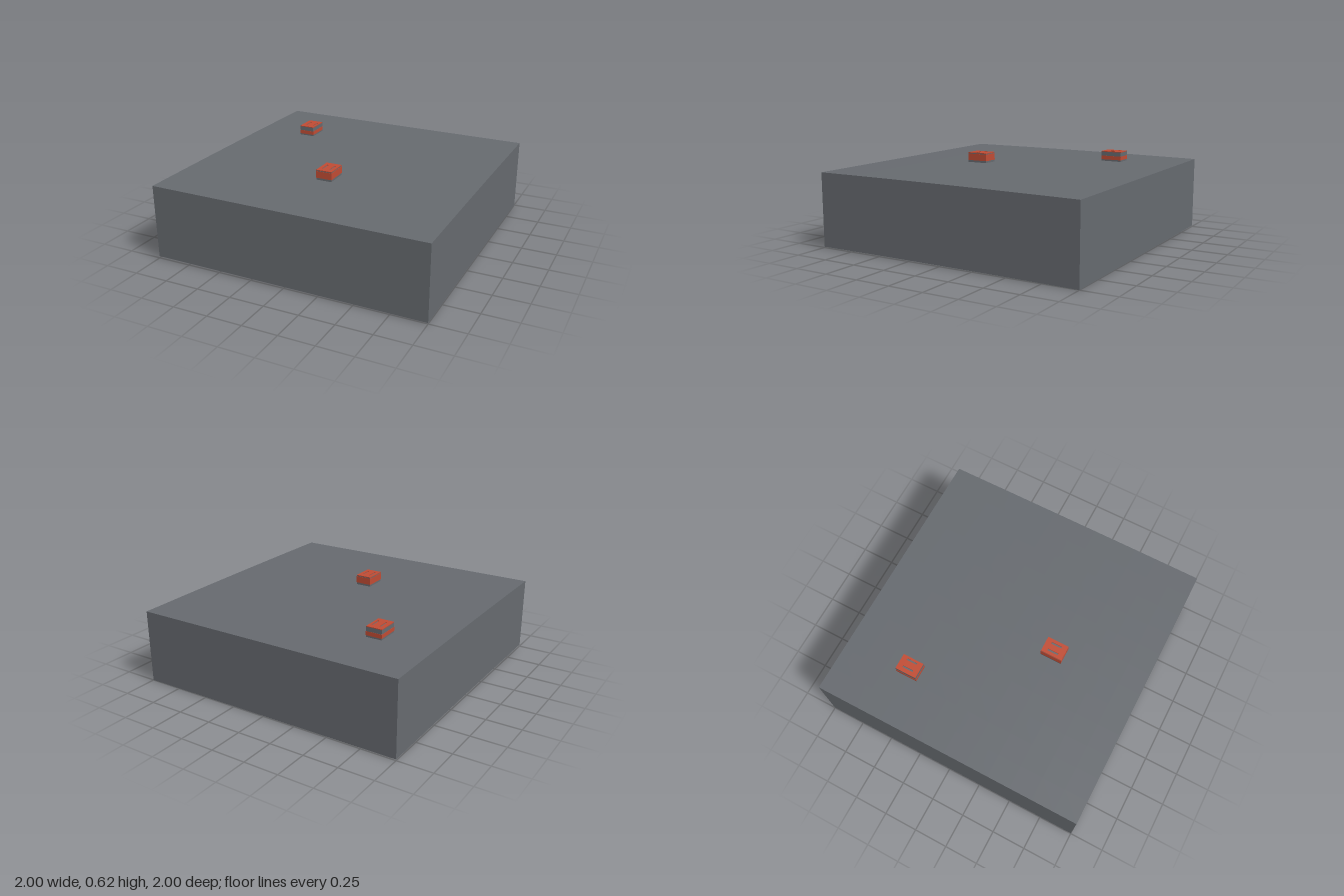
import * as THREE from 'three';

const slate = new THREE.MeshStandardMaterial({ color: 0x666a6f, side: THREE.DoubleSide });
slate.name = 'slate grey';
const brick = new THREE.MeshStandardMaterial({ color: 0xc04c34 });
brick.name = 'brick red';

// Gentle unevenness of the ground
const groundHeight = (x, z) => 0.541 - 0.004 * x + 0.003 * z - 0.004 * z * z;

function addMesh(parent, name, geometry, material, y = 0) {
  const mesh = new THREE.Mesh(geometry, material);
  mesh.name = name;
  mesh.position.y = y;
  parent.add(mesh);
  return mesh;
}

// Hollow slab of ground: top and four walls, open underneath
function groundGeometry() {
  const geo = new THREE.BoxGeometry(2, 1, 2, 12, 1, 12);
  const floor = geo.groups[3];
  const index = Array.from(geo.index.array);
  index.splice(floor.start, floor.count);
  geo.setIndex(index);
  geo.clearGroups();
  const pos = geo.attributes.position;
  for (let i = 0; i < pos.count; i++) {
    const h = groundHeight(pos.getX(i), pos.getZ(i));
    pos.setY(i, pos.getY(i) > 0 ? h : h - 0.53);
  }
  geo.computeVertexNormals();
  return geo;
}

// Flat roof plate with two narrow slots
function roofGeometry(w, d, slots) {
  const rect = (target, x, y, rw, rh) => {
    target.moveTo(x - rw / 2, y - rh / 2);
    target.lineTo(x + rw / 2, y - rh / 2);
    target.lineTo(x + rw / 2, y + rh / 2);
    target.lineTo(x - rw / 2, y + rh / 2);
    target.closePath();
    return target;
  };
  const shape = rect(new THREE.Shape(), 0, 0, w, d);
  for (const x of slots) shape.holes.push(rect(new THREE.Path(), x, 0, 0.012, 0.08));
  const geo = new THREE.ExtrudeGeometry(shape, { depth: 0.005, bevelEnabled: false });
  return geo.rotateX(-Math.PI / 2);
}

// Small building: grey body, red band round the walls, slotted red roof
function building(name, x, z, bandLow, bandHigh, slots) {
  const group = new THREE.Group();
  group.name = name;
  group.position.set(x, 0, z);
  const w = 0.116, d = 0.158;
  addMesh(group, 'body', new THREE.BoxGeometry(w, 0.075, d), slate, 0.5725);
  addMesh(group, 'wallBand', new THREE.BoxGeometry(w + 0.003, bandHigh - bandLow, d + 0.003),
    brick, (bandLow + bandHigh) / 2);
  addMesh(group, 'roof', roofGeometry(w, d, slots), brick, 0.61);
  return group;
}

export function createModel() {
  const model = new THREE.Group();
  model.name = 'groundWithBuildings';
  addMesh(model, 'ground', groundGeometry(), slate);
  model.add(building('rearBuilding', -0.587, -0.5, 0.552, 0.58, [-0.022, 0.036]));
  model.add(building('frontBuilding', -0.002, 0.332, 0.556, 0.605, [-0.028, 0.028]));
  return model;
}
